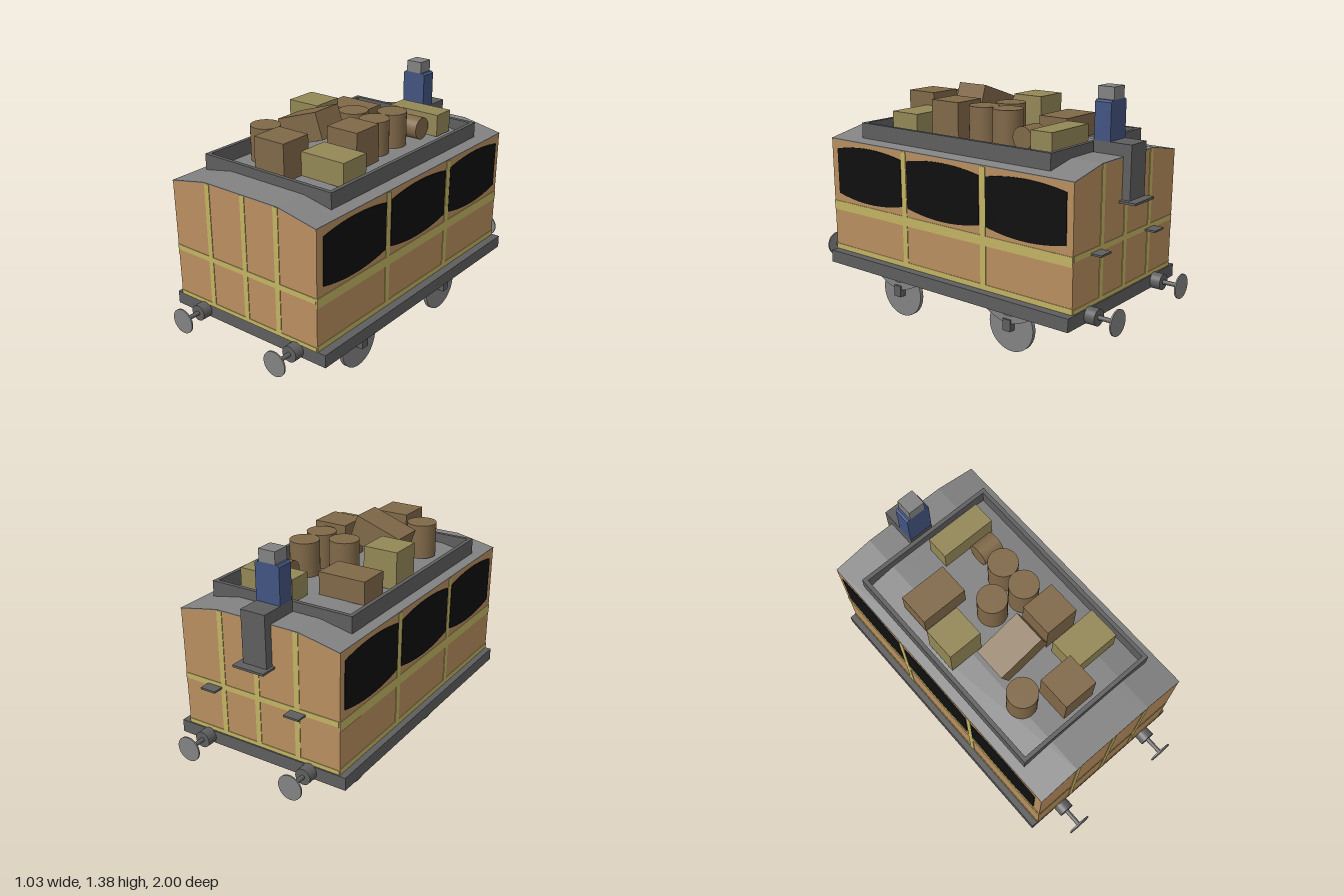
import * as THREE from 'three';

const mat = (name, color) => {
  const m = new THREE.MeshStandardMaterial({ color });
  m.name = name;
  return m;
};

export function createModel() {
  const root = new THREE.Group();
  root.name = 'railwayCarriage';
  const wood = mat('orange wood', 0xb98e5f);
  const brass = mat('yellow trim', 0xc2b363);
  const black = mat('window black', 0x0f0f0f);
  const iron = mat('dark iron', 0x5e5e5e);
  const steel = mat('light steel', 0x828282);
  const crate = mat('crate brown', 0x806848);
  const olive = mat('olive case', 0x938756);
  const blue = mat('coat blue', 0x425380);

  const add = (name, geo, m, parent = root) => {
    const mesh = new THREE.Mesh(geo, m);
    mesh.name = name;
    parent.add(mesh);
    return mesh;
  };
  // box from its minimum and maximum on each axis
  const box = (name, m, x0, x1, y0, y1, z0, z1, parent = root) => {
    const b = add(name, new THREE.BoxGeometry(x1 - x0, y1 - y0, z1 - z0), m, parent);
    b.position.set((x0 + x1) / 2, (y0 + y1) / 2, (z0 + z1) / 2);
    return b;
  };
  const shapeOf = (pts) => new THREE.Shape(pts.map(([x, y]) => new THREE.Vector2(x, y)));
  const extrude = (shape, depth, curveSegments = 12) =>
    new THREE.ExtrudeGeometry(shape, { depth, bevelEnabled: false, curveSegments });

  // underframe
  box('chassis', iron, -0.515, 0.513, 0.265, 0.336, -0.834, 0.834);

  // body and thin roof skin share one end profile
  const z0 = -0.825, z1 = 0.836;
  const roofLine = [[-0.484, 0.99], [-0.25, 1.036], [0.235, 1.036], [0.47, 0.99]];
  add('body', extrude(shapeOf([[-0.478, 0.336], [0.465, 0.336], ...roofLine.slice().reverse()]), z1 - z0), wood)
    .position.z = z0;
  const skin = roofLine.map(([x, y]) => [x, y + 0.005]).reverse();
  add('roof', extrude(shapeOf([...roofLine, ...skin]), z1 - z0 + 0.004), steel).position.z = z0 - 0.002;

  // trim on both ends
  for (const z of [z0, z1]) {
    const a = z - 0.003, b = z + 0.003;
    for (const [l, r] of [[-0.25, -0.22], [-0.01, 0.02], [0.205, 0.236]])
      box('endUprightTrim', brass, l, r, 0.337, 1.036, a, b);
    box('endWaistTrim', brass, -0.475, 0.46, 0.602, 0.632, a, b);
    box('endBottomTrim', brass, -0.475, 0.463, 0.337, 0.36, a, b);
  }

  // windows and trim on both sides, leaning with the walls
  const windowShape = (w) => {
    const s = new THREE.Shape();
    s.moveTo(-w / 2, 0.68);
    s.quadraticCurveTo(0, 0.62, w / 2, 0.68);
    s.lineTo(w / 2, 0.94);
    s.quadraticCurveTo(0, 0.992, -w / 2, 0.94);
    return s;
  };
  for (const side of [1, -1]) {
    const wall = new THREE.Group();
    wall.name = side > 0 ? 'leftWallDetails' : 'rightWallDetails';
    wall.position.set(side > 0 ? 0.465 : -0.478, 0.336, 0);
    wall.rotation.z = -side * 0.0085;
    root.add(wall);
    const plate = (name, ya, yb, za, zb) =>
      box(name, brass, -0.003, 0.003, ya - 0.336, yb - 0.336, za, zb, wall);
    plate('sideWaistTrim', 0.577, 0.63, z0, z1);
    plate('sideBottomTrim', 0.338, 0.368, z0, z1);
    plate('sideUprightTrim', 0.338, 0.988, 0.257, 0.29);
    plate('sideUprightTrim', 0.338, 0.988, -0.293, -0.257);
    for (const [z, w] of [[0.542, 0.496], [0, 0.5], [-0.54, 0.494]]) {
      const g = extrude(windowShape(w), 0.004, 16);
      g.rotateY(side * Math.PI / 2);
      add('window', g, black, wall).position.set(0, -0.336, z);
    }
  }

  // luggage rail on the roof
  const rail = shapeOf([[-0.433, -0.65], [0.407, -0.65], [0.407, 0.645], [-0.433, 0.645]]);
  rail.holes.push(new THREE.Path([[-0.41, -0.628], [-0.41, 0.622], [0.385, 0.622], [0.385, -0.628]]
    .map(([x, y]) => new THREE.Vector2(x, y))));
  const railGeo = extrude(rail, 0.09);
  railGeo.rotateX(-Math.PI / 2);
  add('roofRail', railGeo, iron).position.y = 1.004;

  // luggage
  const floor = 1.04;
  box('longCase', olive, -0.035, 0.287, floor, 1.165, -0.565, -0.435);
  box('cornerCase', olive, 0.07, 0.34, floor, 1.17, 0.29, 0.472);
  box('tallCase', olive, -0.385, -0.19, floor, 1.245, -0.148, 0.037);
  box('lowCrate', crate, -0.35, -0.08, floor, 1.165, -0.4, -0.22);
  box('sideCrate', crate, 0.063, 0.255, floor, 1.245, 0.07, 0.258);
  box('frontCrate', crate, -0.125, 0.07, floor, 1.245, 0.415, 0.602);
  const tilted = add('tiltedCrate', new THREE.BoxGeometry(0.275, 0.15, 0.185), crate);
  tilted.position.set(-0.106, 1.194, 0.185);
  tilted.rotation.z = 0.33;
  for (const [x, z] of [[0.153, -0.187], [0.153, -0.026], [-0.021, -0.071], [-0.232, 0.402]])
    add('barrel', new THREE.CylinderGeometry(0.081, 0.081, 0.19, 32), crate).position.set(x, 1.135, z);
  const lying = add('lyingBarrel', new THREE.CylinderGeometry(0.062, 0.062, 0.126, 32), crate);
  lying.rotation.z = Math.PI / 2;
  lying.position.set(0.18, 1.103, -0.35);

  // blocky seated figure with legs over the back edge
  const figure = new THREE.Group();
  figure.name = 'seatedFigure';
  root.add(figure);
  box('thighs', iron, -0.095, 0.047, 1.042, 1.105, -0.872, -0.65, figure);
  box('shins', iron, -0.095, 0.047, 0.82, 1.05, -0.872, -0.826, figure);
  box('footPlate', iron, -0.11, 0.075, 0.81, 0.822, -0.92, -0.826, figure);
  const torso = shapeOf([[-0.095, 1.1], [0.047, 1.1], [0.047, 1.3], [0.035, 1.31], [-0.084, 1.31], [-0.095, 1.3]]);
  add('torso', extrude(torso, 0.095), blue, figure).position.z = -0.748;
  box('head', steel, -0.073, 0.023, 1.31, 1.375, -0.748, -0.653, figure);

  // steps on the back wall
  for (const [l, r] of [[-0.285, -0.195], [0.23, 0.32]])
    box('backStep', iron, l, r, 0.602, 0.612, -0.888, -0.825);

  // buffers
  for (const x of [-0.305, 0.331])
    for (const dir of [1, -1]) {
      const buffer = new THREE.Group();
      buffer.name = dir > 0 ? 'frontBuffer' : 'backBuffer';
      buffer.position.set(x, 0.301, 0);
      root.add(buffer);
      const rod = (name, r, a, b, m) => {
        const c = add(name, new THREE.CylinderGeometry(r, r, b - a, 32), m, buffer);
        c.rotation.x = Math.PI / 2;
        c.position.z = dir * (a + b) / 2;
      };
      rod('bufferSocket', 0.044, 0.83, 0.892, iron);
      rod('bufferRod', 0.012, 0.88, 0.996, iron);
      rod('bufferDisc', 0.068, 0.992, 1, steel);
    }

  // wheels with axle boxes and leaf springs
  const spring = new THREE.Shape();
  spring.moveTo(-0.215, 0.267);
  spring.quadraticCurveTo(-0.12, 0.19, -0.03, 0.168);
  spring.lineTo(0.03, 0.168);
  spring.quadraticCurveTo(0.12, 0.19, 0.215, 0.267);
  spring.lineTo(0.165, 0.267);
  spring.quadraticCurveTo(0.08, 0.215, 0, 0.207);
  spring.quadraticCurveTo(-0.08, 0.215, -0.165, 0.267);
  for (const side of [1, -1])
    for (const z of [0.396, -0.39]) {
      const axle = new THREE.Group();
      axle.name = 'wheelSet';
      axle.position.set(side > 0 ? 0.371 : -0.305, 0, z);
      root.add(axle);
      const wheel = add('wheel', new THREE.CylinderGeometry(0.142, 0.142, 0.022, 40), steel, axle);
      wheel.rotation.z = Math.PI / 2;
      wheel.position.y = 0.142;
      const g = extrude(spring, 0.032);
      g.rotateY(Math.PI / 2);
      add('leafSpring', g, steel, axle).position.x = side > 0 ? 0.009 : -0.041;
      const ends = [side * 0.01, side * 0.051].sort((a, b) => a - b);
      box('axleBox', iron, ends[0], ends[1], 0.125, 0.19, -0.024, 0.024, axle);
    }

  return root;
}
